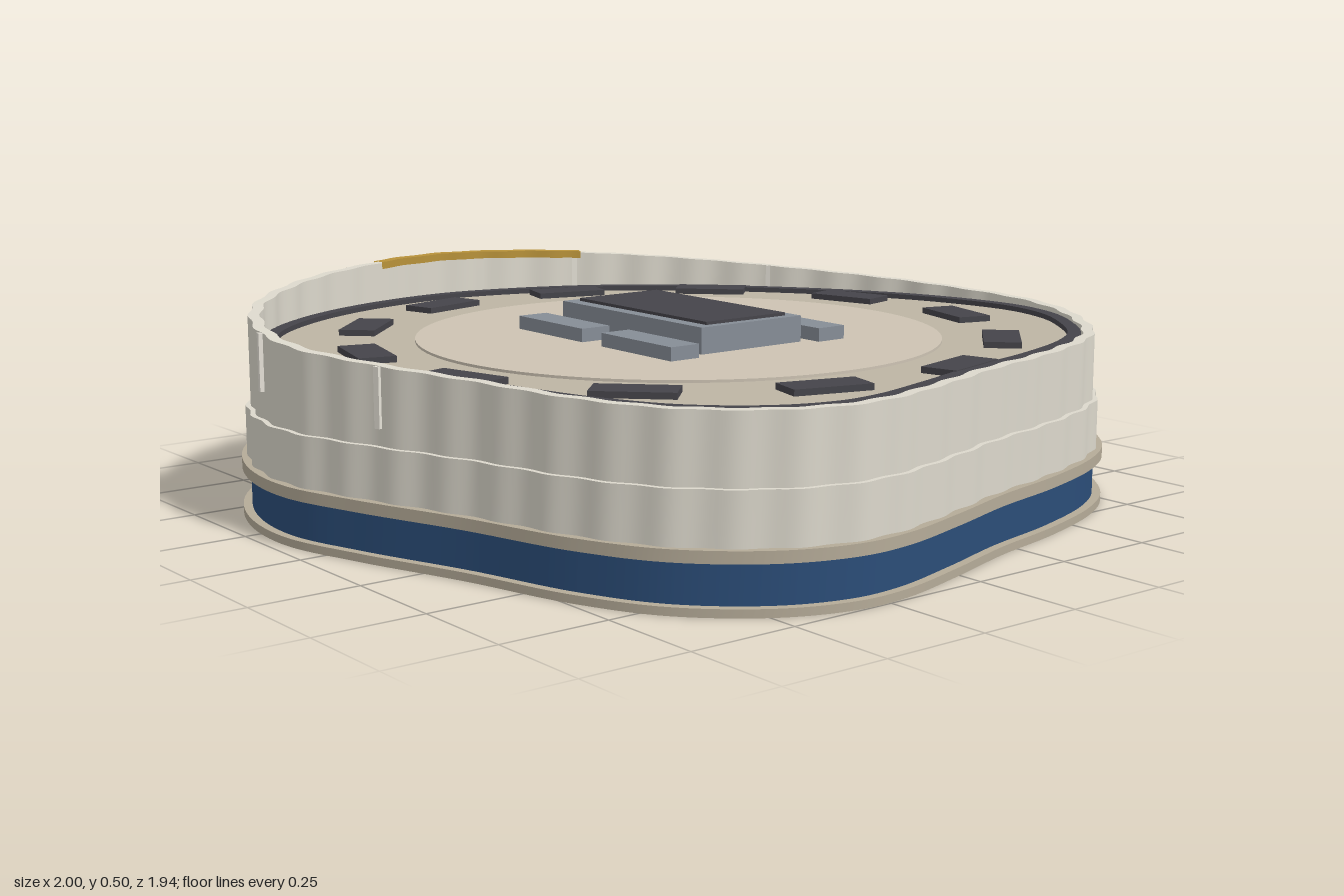
import * as THREE from 'three';
import { toCreasedNormals } from 'three/addons/utils/BufferGeometryUtils.js';

const CX = 0.04, CZ = 0.02, N = 360;
const mat = (color) => new THREE.MeshStandardMaterial({ color, side: THREE.DoubleSide });
const M = {
  wall: mat(0xdcd8cc), trim: mat(0xb5ab98), blue: mat(0x2b4d78), roof: mat(0xbdb5a4),
  disc: mat(0xcdc3b3), dark: mat(0x45444a), unit: mat(0x868d96), glass: mat(0x4a7fa5),
  gold: mat(0xb8923a), pale: mat(0xe6e2d8),
};

// Plan outline, running from the back round by +x to the front
const plan = [
  [0.23, -0.97], [0.41, -0.93], [0.56, -0.838], [0.68, -0.73], [0.76, -0.6], [0.83, -0.4], [0.88, -0.185],
  [0.94, 0.01], [0.988, 0.2], [0.99, 0.33], [0.935, 0.485], [0.8, 0.64], [0.62, 0.735],
  [0.35, 0.815], [0.08, 0.91], [-0.13, 0.963], [-0.345, 0.937], [-0.56, 0.83], [-0.73, 0.64],
  [-0.845, 0.4], [-0.895, 0.13], [-0.87, -0.06], [-0.79, -0.28], [-0.665, -0.47],
  [-0.48, -0.655], [-0.24, -0.825], [-0.02, -0.925],
].map(([x, z]) => new THREE.Vector3(x, 0, z));
const pts = new THREE.CatmullRomCurve3(plan, true).getSpacedPoints(N).slice(0, N);
const normals = pts.map((_, i) => {
  const a = pts[(i + N - 3) % N], b = pts[(i + 3) % N];
  return new THREE.Vector3(b.z - a.z, 0, a.x - b.x).normalize();
});

// Parapet height: rises in a sweep toward -x
const rimY = (x) => 0.398 + 0.098 * Math.pow(Math.max(0, 1 - x) / 1.9, 2.2);
const ripple = (i) => 0.004 * Math.sin((i / N) * Math.PI * 2 * 45);

// Sweeps a profile of [offset, height, scale] round the outline
function sweep(name, material, profile, { wavy = false, from = 0, count = N } = {}) {
  const pos = [], idx = [], P = profile.length;
  for (let k = 0; k <= count; k++) {
    const i = (from + k) % N, p = pts[i], n = normals[i];
    for (const [off, y, s = 1] of profile) {
      const o = off + (wavy ? ripple(i) : 0);
      pos.push(CX + (p.x + n.x * o - CX) * s, typeof y === 'function' ? y(p.x) : y, CZ + (p.z + n.z * o - CZ) * s);
    }
  }
  for (let k = 0; k < count; k++) for (let j = 0; j < P - 1; j++) {
    const a = k * P + j, b = a + P;
    idx.push(a, a + 1, b, a + 1, b + 1, b);
  }
  const g = new THREE.BufferGeometry();
  g.setAttribute('position', new THREE.Float32BufferAttribute(pos, 3));
  g.setIndex(idx);
  const mesh = new THREE.Mesh(toCreasedNormals(g, 0.6), material);
  mesh.name = name;
  return mesh;
}

// Box given by its ranges on each axis
function box(name, material, [x0, x1], [y0, y1], [z0, z1]) {
  const m = new THREE.Mesh(new THREE.BoxGeometry(x1 - x0, y1 - y0, z1 - z0), material);
  m.position.set((x0 + x1) / 2, (y0 + y1) / 2, (z0 + z1) / 2);
  m.name = name;
  return m;
}

export function createModel() {
  const root = new THREE.Group();
  root.name = 'roundedBuilding';

  // Base, blue storey and ledge
  root.add(
    sweep('basePlinth', M.trim, [[0, 0, 0], [0, 0], [0.004, 0], [0.004, 0.018], [-0.03, 0.018]]),
    sweep('blueStorey', M.blue, [[-0.016, 0.016], [-0.016, 0.108]]),
    sweep('ledge', M.trim, [[-0.03, 0.106], [0.004, 0.106], [0.004, 0.132], [-0.04, 0.132]]),
  );

  // Rippled walls, parapet and roof
  root.add(
    sweep('lowerWall', M.wall, [[-0.012, 0.13], [-0.012, 0.247], [-0.03, 0.247]], { wavy: true }),
    sweep('upperWall', M.wall, [[-0.024, 0.245], [-0.024, rimY], [-0.05, rimY], [-0.05, 0.37]], { wavy: true }),
    sweep('roofDeck', M.roof, [[-0.045, 0.384], [-0.045, 0.384, 0]]),
    sweep('roofGutter', M.dark, [[-0.053, 0.38], [-0.053, 0.396], [-0.084, 0.396], [-0.084, 0.38]]),
  );

  // Gold cap on the high part of the parapet
  const arc = pts.map((p, i) => i).filter((i) => pts[i].x < 0 && pts[i].z > -0.29 && pts[i].z < 0.335);
  const lift = (d) => (x) => rimY(x) + d;
  root.add(sweep('goldCap', M.gold,
    [[-0.026, lift(0.001)], [-0.026, lift(0.004)], [-0.056, lift(0.004)], [-0.056, lift(-0.014)]],
    { wavy: true, from: arc[0], count: arc.length - 1 }));

  // Slim vertical ribs on the wall
  for (const [x, z] of [[-0.285, 0.95], [-0.835, 0.4], [0.13, 0.89], [-0.45, -0.68], [-0.6, -0.55], [-0.79, -0.27]]) {
    let best = 0;
    pts.forEach((p, i) => {
      if (Math.hypot(p.x - x, p.z - z) < Math.hypot(pts[best].x - x, pts[best].z - z)) best = i;
    });
    const p = pts[best], n = normals[best], top = rimY(p.x);
    const rib = new THREE.Mesh(new THREE.BoxGeometry(0.014, 0.13, 0.03), M.pale);
    rib.position.set(p.x - n.x * 0.033, top - 0.066, p.z - n.z * 0.033);
    rib.rotation.y = Math.atan2(n.x, n.z);
    rib.name = 'wallRib';
    root.add(rib);
  }

  // Central roof disc
  const disc = new THREE.Mesh(new THREE.CylinderGeometry(0.61, 0.61, 0.012, 96), M.disc);
  disc.position.set(CX, 0.384, CZ);
  disc.name = 'roofDisc';
  root.add(disc);

  // Ring of roof vents
  for (let k = 0; k < 12; k++) {
    const a = ((15 + 30 * k) * Math.PI) / 180;
    const vent = new THREE.Mesh(new THREE.BoxGeometry(0.085, 0.024, 0.18), M.dark);
    vent.position.set(CX + 0.745 * Math.cos(a), 0.386, CZ + 0.745 * Math.sin(a));
    vent.rotation.y = -a;
    vent.name = 'roofVent';
    root.add(vent);
  }

  // Rooftop plant: main housing with four low units
  root.add(
    box('plantHousing', M.unit, [-0.22, 0.305], [0.385, 0.45], [-0.125, 0.165]),
    box('plantTop', M.dark, [-0.195, 0.282], [0.44, 0.457], [-0.097, 0.133]),
  );
  for (const x of [-0.247, 0.08]) for (const z of [-0.232, 0.195])
    root.add(box('plantUnit', M.unit, [x, x + 0.253], [0.385, 0.421], [z, z + 0.077]));

  // Entrance on the -x side: blue bay, pale frame, mullions and canopy
  const entrance = new THREE.Group();
  entrance.name = 'entrance';
  entrance.add(
    box('entranceBay', M.blue, [-0.905, -0.8], [0.004, 0.29], [-0.2, 0.245]),
    box('frameBeam', M.pale, [-0.932, -0.905], [0.285, 0.31], [-0.235, 0.275]),
    box('canopy', M.pale, [-1, -0.925], [0.075, 0.092], [-0.15, 0.19]),
  );
  for (const z of [-0.235, 0.25]) entrance.add(box('framePost', M.pale, [-0.932, -0.905], [0, 0.29], [z, z + 0.025]));
  for (let k = 0; k < 4; k++) {
    const z = -0.14 + k * 0.107;
    entrance.add(box('mullion', M.unit, [-0.918, -0.9], [0.004, 0.288], [z - 0.006, z + 0.006]));
    entrance.add(box('canopyBracket', M.pale, [-0.96, -0.905], [0.06, 0.078], [z - 0.01, z + 0.01]));
  }
  root.add(entrance);

  // Display panel standing off the wall
  const panel = new THREE.Group();
  panel.name = 'displayPanel';
  panel.add(
    box('panelFrame', M.blue, [-0.17, 0.17], [0.135, 0.335], [-0.01, 0.008]),
    box('panelScreen', M.glass, [-0.155, 0.155], [0.15, 0.32], [0.004, 0.011]),
  );
  for (const x of [-0.1, 0.1]) panel.add(box('panelBracket', M.blue, [x - 0.01, x + 0.01], [0.2, 0.26], [-0.09, -0.005]));
  panel.position.set(-0.78, 0, -0.4);
  panel.rotation.y = Math.atan2(-0.886, -0.464);
  root.add(panel);

  return root;
}
